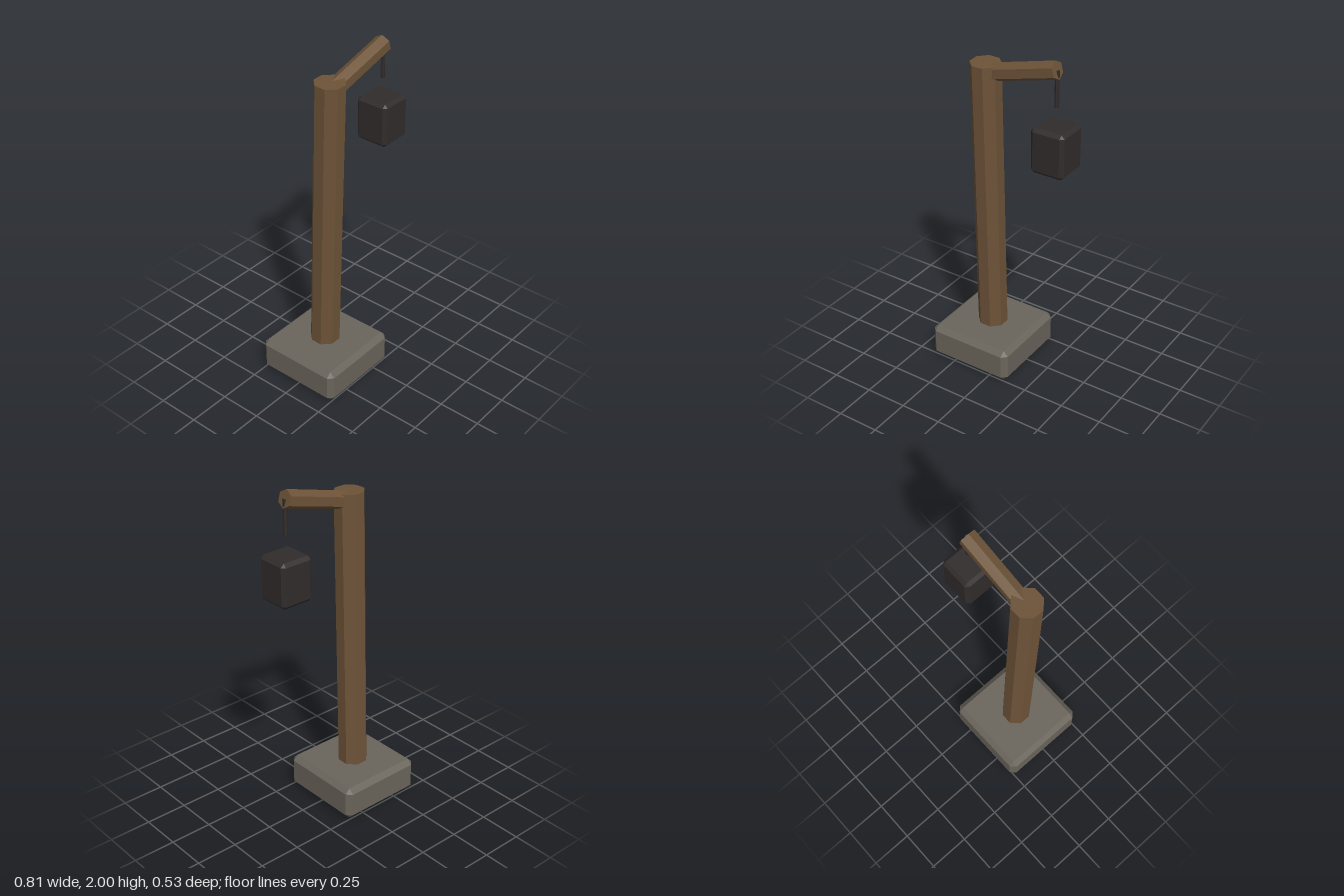
import * as THREE from 'three';
import { ConvexGeometry } from 'three/addons/geometries/ConvexGeometry.js';

const material = (color) => new THREE.MeshStandardMaterial({ color, flatShading: true });
const stone = material(0x6a655b);
const wood = material(0x6d5338);
const iron = material(0x312c2c);

function addPart(group, name, geometry, mat) {
  const mesh = new THREE.Mesh(geometry, mat);
  mesh.name = name;
  group.add(mesh);
  return mesh;
}

// Box with every edge and corner cut by c
function chamferBox(w, h, d, c) {
  const points = [];
  for (const x of [-w / 2, w / 2])
    for (const y of [-h / 2, h / 2])
      for (const z of [-d / 2, d / 2]) {
        const ix = x - Math.sign(x) * c, iy = y - Math.sign(y) * c, iz = z - Math.sign(z) * c;
        points.push(
          new THREE.Vector3(x, iy, iz),
          new THREE.Vector3(ix, y, iz),
          new THREE.Vector3(ix, iy, z)
        );
      }
  return new ConvexGeometry(points);
}

// Straight prism between two points; turn spins its sides about its axis
function beam(group, name, from, to, radius, sides, turn, mat) {
  const a = new THREE.Vector3(...from), b = new THREE.Vector3(...to);
  const dir = b.clone().sub(a);
  const geometry = new THREE.CylinderGeometry(radius, radius, dir.length(), sides).rotateY(turn);
  const mesh = addPart(group, name, geometry, mat);
  mesh.position.copy(a).add(b).multiplyScalar(0.5);
  mesh.quaternion.setFromUnitVectors(new THREE.Vector3(0, 1, 0), dir.normalize());
  return mesh;
}

export function createModel() {
  const group = new THREE.Group();
  group.name = 'lampPost';

  // Stone footing
  addPart(group, 'base', chamferBox(0.528, 0.205, 0.528, 0.03), stone).position.set(-0.142, 0.1025, 0);

  // Leaning octagonal post, set into the footing
  beam(group, 'post', [-0.142, 0.1, -0.004], [-0.142, 1.89, 0.045], 0.088, 8, Math.PI / 8, wood);

  // Rising hexagonal arm with a ridge along its top
  beam(group, 'arm', [-0.142, 1.832, 0.044], [0.302, 1.951, 0.044], 0.052, 6, Math.PI / 2, wood);

  // Hanger rod and the lantern below it
  beam(group, 'hanger', [0.302, 1.745, 0.044], [0.302, 1.95, 0.044], 0.0125, 6, 0, iron);
  addPart(group, 'lantern', chamferBox(0.204, 0.264, 0.204, 0.02), iron).position.set(0.302, 1.508, 0.044);

  return group;
}
